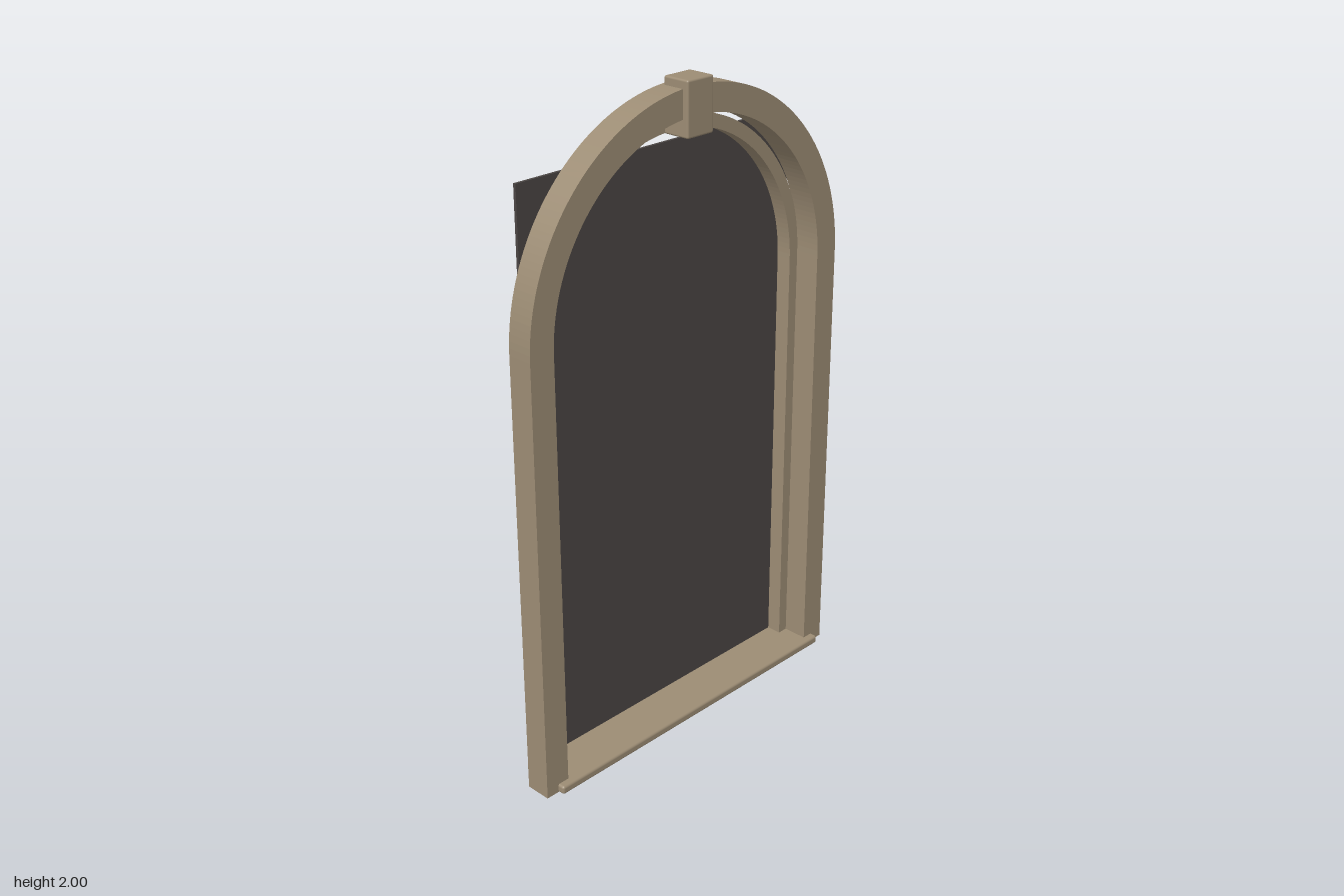
import * as THREE from 'three';
import { RoundedBoxGeometry } from 'three/addons/geometries/RoundedBoxGeometry.js';

// Round-headed band: straight legs up to the spring line, then a half circle
function archBand(outer, inner, base, spring, zBack, zFront) {
  const s = new THREE.Shape();
  s.moveTo(outer, base);
  s.lineTo(outer, spring);
  s.absarc(0, spring, outer, 0, Math.PI, false);
  s.lineTo(-outer, base);
  s.lineTo(-inner, base);
  s.lineTo(-inner, spring);
  s.absarc(0, spring, inner, Math.PI, 0, true);
  s.lineTo(inner, base);
  s.closePath();
  const g = new THREE.ExtrudeGeometry(s, { depth: zFront - zBack, bevelEnabled: false, curveSegments: 48 });
  return g.translate(0, 0, zBack);
}

// Box given by its limits, with softened edges when r > 0
function block(x, y0, y1, z0, z1, r) {
  const size = [2 * x, y1 - y0, z1 - z0];
  const g = r ? new RoundedBoxGeometry(...size, 3, r) : new THREE.BoxGeometry(...size);
  return g.translate(0, (y0 + y1) / 2, (z0 + z1) / 2);
}

export function createModel() {
  const stone = new THREE.MeshStandardMaterial({ color: 0x9c8c74 });
  stone.name = 'stone';
  const darkPane = new THREE.MeshStandardMaterial({ color: 0x4a4543 });
  darkPane.name = 'darkPane';

  const model = new THREE.Group();
  model.name = 'archedNiche';
  const add = (name, geometry, material) => {
    const mesh = new THREE.Mesh(geometry, material);
    mesh.name = name;
    model.add(mesh);
  };

  // Stepped surround
  add('outerArch', archBand(0.612, 0.53, 0, 1.365, -0.024, 0.057), stone);
  add('innerArch', archBand(0.536, 0.496, 0.005, 1.345, -0.071, -0.022), stone);

  // Keystone at the crown and sill across the foot
  add('keystone', block(0.05, 1.842, 2, -0.014, 0.075, 0.006), stone);
  add('sill', block(0.57, 0, 0.027, -0.08, 0.08, 0.008), stone);

  // Rectangular back panel
  add('backPanel', block(0.528, 0.02, 1.796, -0.079, -0.07, 0), darkPane);

  return model;
}
